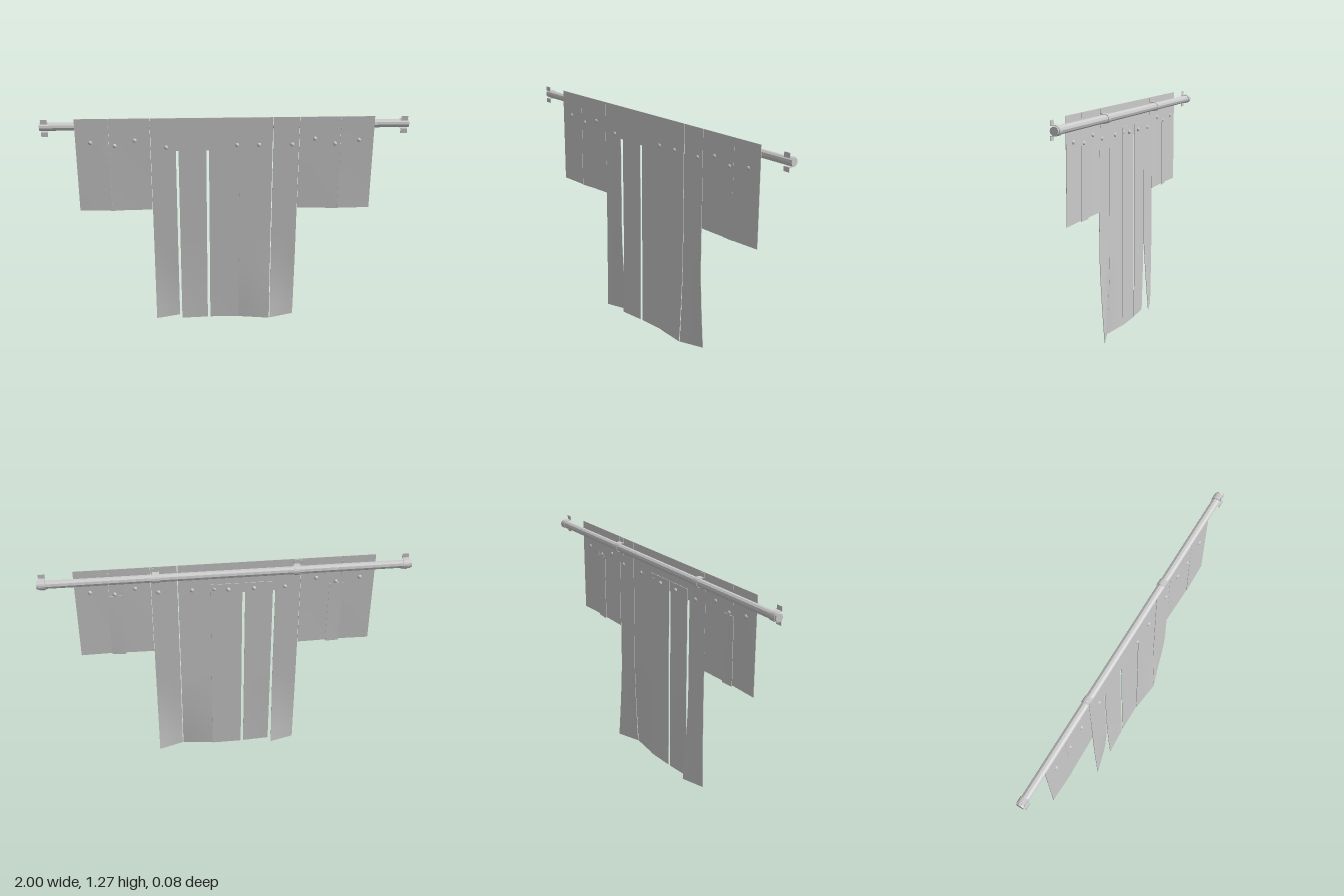
import * as THREE from 'three';

const material = new THREE.MeshStandardMaterial({ color: 0xcccccc, side: THREE.DoubleSide });
const flatMaterial = new THREE.MeshStandardMaterial({ color: 0xcccccc, flatShading: true });
const THICK = 0.003;
const HANG = 0.015; // depth of the curtain plane
const ROD_Y = 1.217, ROD_Z = -0.013;

export function createModel() {
  const root = new THREE.Group();
  const add = (parent, name, geometry, mat = material) => {
    const mesh = new THREE.Mesh(geometry, mat);
    mesh.name = name;
    parent.add(mesh);
    return mesh;
  };
  const group = (name) => {
    const g = new THREE.Group();
    g.name = name;
    root.add(g);
    return g;
  };

  // Thin hanging sheet whose lower part swings to zl / zr at its two bottom corners
  const strip = (parent, name, x0, x1, y0, y1, z = HANG, zl = z, zr = z, swing = 0.5) => {
    const geo = new THREE.BoxGeometry(x1 - x0, y1 - y0, THICK, 4, 16, 1);
    geo.translate((x0 + x1) / 2, (y0 + y1) / 2, 0);
    const p = geo.attributes.position;
    for (let i = 0; i < p.count; i++) {
      const u = (p.getX(i) - x0) / (x1 - x0);
      const t = Math.max(0, 1 - (p.getY(i) - y0) / swing);
      const bottom = zl + (zr - zl) * u;
      p.setZ(i, p.getZ(i) + z + (bottom - z) * Math.pow(t, 1.4));
    }
    geo.computeVertexNormals();
    return add(parent, name, geo);
  };

  // Rod with faceted sides
  const rod = add(root, 'rod', new THREE.CylinderGeometry(0.022, 0.022, 2, 10), flatMaterial);
  rod.rotation.z = Math.PI / 2;
  rod.position.set(0, ROD_Y, ROD_Z);

  // Bent clips: a band round the back of the rod with a flange above and below
  const clips = group('clips');
  const arc = (r, from, to) => Array.from({ length: 9 }, (_, i) => {
    const a = from + (to - from) * i / 8;
    return [ROD_Z + r * Math.cos(a), ROD_Y + r * Math.sin(a)];
  });
  const q = Math.PI / 2, front = 0.012, back = 0.009;
  const outline = [
    [front, 1.266], [back, 1.266], [back, ROD_Y + 0.026],
    ...arc(0.026, q, 3 * q),
    [back, ROD_Y - 0.026], [back, 1.169], [front, 1.169], [front, ROD_Y - 0.023],
    ...arc(0.023, 3 * q, q),
    [front, ROD_Y + 0.023],
  ];
  const clipShape = new THREE.Shape(outline.map(([z, y]) => new THREE.Vector2(-z, y)));
  const clipGeo = new THREE.ExtrudeGeometry(clipShape, { depth: 0.036, bevelEnabled: false });
  clipGeo.translate(0, 0, -0.018).rotateY(Math.PI / 2);
  for (const x of [-0.972, -0.377, 0.377, 0.972]) {
    add(clips, 'clip', clipGeo, flatMaterial).position.x = x;
  }

  // Short side panels, each of two strips with a lap behind the seam
  for (const s of [-1, 1]) {
    const side = group(s > 0 ? 'leftPanel' : 'rightPanel');
    const sheet = (name, a, b, y0, y1, z, za, zb) => s > 0
      ? strip(side, name, a, b, y0, y1, z, za, zb)
      : strip(side, name, -b, -a, y0, y1, z, zb, za);
    sheet('outerStrip', 0.63, 0.81, 0.722, 1.27, HANG, 0.02, 0.016);
    sheet('innerStrip', 0.406, 0.629, 0.722, 1.27, HANG, 0.013, 0.018);
    sheet('seamLap', 0.565, 0.64, 0.717, 1.105, 0.01, 0.01, 0.014);
  }

  // Long centre panel: header, front strips and strips hung behind the header
  const centre = group('centrePanel');
  strip(centre, 'header', -0.268, 0.08, 1.08, 1.27);
  strip(centre, 'longStrip', -0.404, -0.268, 0, 1.27, HANG, 0.022, -0.016);
  strip(centre, 'longStrip', -0.254, -0.102, 0, 1.14, 0.011, 0.022, 0.013);
  strip(centre, 'longStrip', -0.087, 0.085, 0, 1.14, 0.011, 0.012, 0.011);
  strip(centre, 'longStrip', 0.08, 0.26, 0, 1.27, HANG, 0.014, 0.036);
  strip(centre, 'longStrip', 0.264, 0.404, 0, 1.27, HANG, 0.034, -0.012);

  // Domed rivets showing on both faces
  const rivets = group('rivets');
  const rivetGeo = new THREE.SphereGeometry(0.012, 12, 8);
  rivetGeo.scale(1, 1, 0.8);
  const spots = [[-0.32, 1.1], [-0.15, 1.105], [-0.01, 1.105], [0.066, 1.11], [0.186, 1.11], [0.367, 1.11]];
  for (const s of [-1, 1]) spots.push([s * 0.73, 1.133], [s * 0.6, 1.113], [s * 0.49, 1.143]);
  for (const [x, y] of spots) {
    const hidden = x > -0.2 && x < 0.03; // covered by the header
    add(rivets, 'rivet', rivetGeo).position.set(x, y, hidden ? 0.007 : HANG);
  }
  return root;
}
